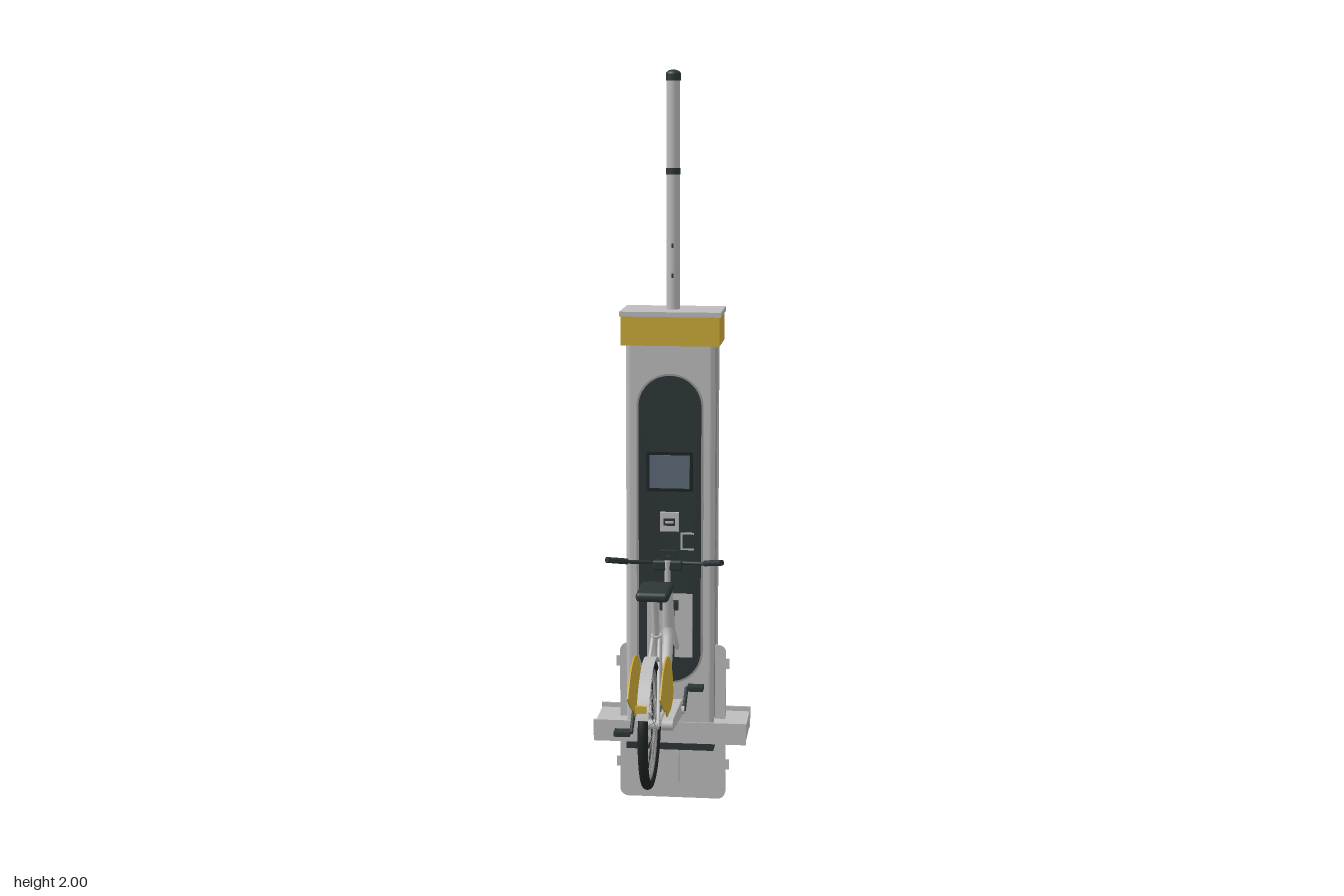
import * as THREE from 'three';
import { RoundedBoxGeometry } from 'three/addons/geometries/RoundedBoxGeometry.js';
import { mergeGeometries } from 'three/addons/utils/BufferGeometryUtils.js';

const V = (x, y, z) => new THREE.Vector3(x, y, z);

export function createModel() {
  const mat = (name, color) => Object.assign(new THREE.MeshStandardMaterial({ color }), { name });
  const metal = mat('light grey metal', 0xbcbcbc);
  const recess = mat('mid grey metal', 0x969696);
  const dark = mat('dark panel', 0x2d3637);
  const black = mat('tyre black', 0x1f2323);
  const yellow = mat('yellow', 0xcbaa36);
  const glass = mat('screen blue grey', 0x5b6977);

  const model = new THREE.Group();
  model.name = 'bikeStation';
  const station = new THREE.Group(), bike = new THREE.Group();
  station.name = 'dockingTower';
  bike.name = 'bicycle';
  model.add(station, bike);

  const add = (parent, name, geo, material) => {
    const m = new THREE.Mesh(geo, material);
    m.name = name;
    parent.add(m);
    return m;
  };
  // Box given by its limits on each axis
  const box = (p, name, m, x0, x1, y0, y1, z0, z1, r = 0) => {
    const s = [x1 - x0, y1 - y0, z1 - z0];
    const g = r ? new RoundedBoxGeometry(...s, 3, r) : new THREE.BoxGeometry(...s);
    return add(p, name, g.translate((x0 + x1) / 2, (y0 + y1) / 2, (z0 + z1) / 2), m);
  };
  // Straight rod between two points
  const rodGeo = (a, b, r0, r1 = r0, sides = 14) => {
    const d = b.clone().sub(a);
    const q = new THREE.Quaternion().setFromUnitVectors(V(0, 1, 0), d.clone().normalize());
    const c = a.clone().add(b).multiplyScalar(0.5);
    return new THREE.CylinderGeometry(r1, r0, d.length(), sides).applyQuaternion(q).translate(c.x, c.y, c.z);
  };
  const rod = (p, name, m, a, b, r0, r1) => add(p, name, rodGeo(a, b, r0, r1), m);
  const tube = (p, name, m, pts, r, tension = 0.3) => add(p, name, new THREE.TubeGeometry(
    new THREE.CatmullRomCurve3(pts, false, 'catmullrom', tension), 40, r, 12), m);
  // Side-on shape in (z, y), extruded across x
  const slab = (p, name, m, shape, x, width) => add(p, name,
    new THREE.ExtrudeGeometry(shape, { depth: width, bevelEnabled: false, curveSegments: 24 })
      .translate(0, 0, -width / 2).rotateY(-Math.PI / 2).translate(x, 0, 0), m);
  const roundRect = (x0, x1, y0, y1, r) => {
    const s = new THREE.Shape();
    s.absarc(x1 - r, y1 - r, r, 0, Math.PI / 2);
    s.absarc(x0 + r, y1 - r, r, Math.PI / 2, Math.PI);
    s.absarc(x0 + r, y0 + r, r, Math.PI, Math.PI * 1.5);
    s.absarc(x1 - r, y0 + r, r, Math.PI * 1.5, Math.PI * 2);
    s.closePath();
    return s;
  };
  // Front-on rounded plate
  const plate = (name, m, x0, x1, y0, y1, r, z, t) => add(station, name,
    new THREE.ExtrudeGeometry(roundRect(x0, x1, y0, y1, r), { depth: t, bevelEnabled: false, curveSegments: 20 })
      .translate(0, 0, z), m);
  // Upright rounded column, section in (x, z)
  const column = (name, m, x0, x1, z0, z1, r, y0, y1) => add(station, name,
    new THREE.ExtrudeGeometry(roundRect(x0, x1, -z1, -z0, r), { depth: y1 - y0, bevelEnabled: false, curveSegments: 8 })
      .rotateX(-Math.PI / 2).translate(0, y0, 0), m);

  // Tower body: grooved core, front shell and rounded rear columns
  box(station, 'towerCore', recess, -0.108, 0.108, 0.24, 1.285, -0.36, -0.225);
  column('frontShell', metal, -0.12, 0.12, -0.245, -0.213, 0.015, 0.24, 1.285);
  for (const s of [-1, 1]) {
    column('rearColumn', metal, s * 0.103 - 0.017, s * 0.103 + 0.017, -0.366, -0.333, 0.015, 0.24, 1.285);
    for (const z of [-0.263, -0.289, -0.315])
      box(station, 'sideRib', recess, s * 0.112 - 0.005, s * 0.112 + 0.005, 0.24, 1.285, z - 0.009, z + 0.009);
  }
  for (const x of [-0.062, 0, 0.062])
    box(station, 'backPanel', recess, x - 0.028, x + 0.028, 0.24, 1.285, -0.366, -0.355);
  for (const y of [0.6, 0.72]) box(station, 'doorSeam', dark, -0.09, 0.09, y, y + 0.003, -0.367, -0.36);
  box(station, 'doorLock', yellow, -0.014, 0.014, 0.645, 0.673, -0.374, -0.366);

  // Cap and mast
  box(station, 'capBand', yellow, -0.132, 0.132, 1.28, 1.357, -0.374, -0.207);
  box(station, 'capLid', metal, -0.135, 0.135, 1.357, 1.37, -0.378, -0.205);
  rod(station, 'mast', metal, V(0, 1.37, -0.292), V(0, 1.98, -0.292), 0.018);
  rod(station, 'mastBand', dark, V(0, 1.727, -0.292), V(0, 1.744, -0.292), 0.0195);
  rod(station, 'mastTip', dark, V(0, 1.972, -0.292), V(0, 1.988, -0.292), 0.02);
  add(station, 'mastDome', new THREE.SphereGeometry(0.02, 20, 8, 0, Math.PI * 2, 0, Math.PI / 2)
    .scale(1, 0.6, 1).translate(0, 1.988, -0.292), dark);
  for (const y of [1.46, 1.54]) box(station, 'mastScrew', dark, -0.003, 0.003, y - 0.006, y + 0.006, -0.275, -0.272);

  // Front control panel
  plate('panelRim', recess, -0.09, 0.09, 0.355, 1.205, 0.089, -0.213, 0.002);
  plate('controlPanel', dark, -0.084, 0.084, 0.361, 1.2, 0.083, -0.213, 0.005);
  box(station, 'screenFrame', black, -0.062, 0.062, 0.888, 0.995, -0.21, -0.205);
  box(station, 'screen', glass, -0.054, 0.054, 0.897, 0.987, -0.206, -0.203);
  box(station, 'cardReader', metal, -0.025, 0.025, 0.78, 0.832, -0.21, -0.198);
  box(station, 'readerSlot', dark, -0.015, 0.015, 0.796, 0.816, -0.199, -0.197);
  box(station, 'readerStripe', metal, -0.011, 0.011, 0.803, 0.809, -0.198, -0.196);
  box(station, 'noticeTag', metal, 0.03, 0.066, 0.728, 0.776, -0.21, -0.206);
  box(station, 'noticeFace', dark, 0.035, 0.066, 0.733, 0.771, -0.207, -0.205);
  box(station, 'dockPlate', metal, -0.062, 0.062, 0.43, 0.607, -0.21, -0.204);
  box(station, 'dockSlot', dark, -0.014, 0.014, 0.43, 0.56, -0.205, -0.202);
  box(station, 'dockLock', dark, -0.025, 0.025, 0.565, 0.59, -0.206, -0.185);

  // Foot channel with raised lips
  box(station, 'footChannel', metal, -0.208, 0.208, 0.188, 0.232, -0.373, -0.213);
  for (const z of [-0.377, -0.215]) box(station, 'footLip', metal, -0.21, 0.21, 0.185, 0.245, z, z + 0.006);
  box(station, 'underTray', dark, -0.12, 0.12, 0.165, 0.188, -0.375, -0.212);
  // Ground plate, post and rear brackets
  plate('groundPlate', metal, -0.147, 0.147, 0, 0.442, 0.022, -0.299, 0.006);
  for (const s of [-1, 1]) for (const y of [0.1, 0.39])
    box(station, 'plateTab', metal, s * 0.145 - 0.012, s * 0.145 + 0.012, y - 0.014, y + 0.014, -0.299, -0.293);
  box(station, 'post', metal, -0.019, 0.019, 0.05, 0.17, -0.305, -0.271);
  box(station, 'rearBracket', metal, -0.075, 0.075, 0.142, 0.166, -0.35, -0.299);
  box(station, 'rearBar', metal, -0.075, 0.075, 0.082, 0.1, -0.32, -0.299);
  rod(station, 'rearPin', metal, V(0, 0.091, -0.3), V(0, 0.091, -0.357), 0.009);

  // Wheels
  const hubY = 0.386;
  for (const [name, z] of [['rearWheel', 0.262], ['frontWheel', -0.29]]) {
    const w = new THREE.Group();
    w.name = name;
    w.position.set(0, hubY, z);
    bike.add(w);
    add(w, 'tyre', new THREE.TorusGeometry(0.15, 0.0125, 12, 56).rotateY(Math.PI / 2), black);
    add(w, 'rim', new THREE.TorusGeometry(0.138, 0.006, 8, 56).rotateY(Math.PI / 2), recess);
    rod(w, 'hub', metal, V(-0.024, 0, 0), V(0.024, 0, 0), 0.012);
    const spokes = [];
    for (let i = 0; i < 28; i++) {
      const a = i / 28 * Math.PI * 2, b = a + (i % 4 < 2 ? 0.8 : -0.8);
      spokes.push(rodGeo(V(i % 2 ? 0.016 : -0.016, Math.sin(b) * 0.011, Math.cos(b) * 0.011),
        V(0, Math.sin(a) * 0.137, Math.cos(a) * 0.137), 0.0009, 0.0009, 5));
    }
    add(w, 'spokes', mergeGeometries(spokes), recess);
  }

  // Mudguards
  const guard = (name, z, a0, a1) => {
    const s = new THREE.Shape(), d = Math.PI / 180;
    s.absarc(z, hubY, 0.169, a0 * d, a1 * d, false);
    s.absarc(z, hubY, 0.165, a1 * d, a0 * d, true);
    s.closePath();
    slab(bike, name, metal, s, 0, 0.03);
  };
  guard('rearMudguard', 0.262, 20, 165);
  guard('frontMudguard', -0.29, 65, 175);

  // Yellow skirts beside the rear wheel
  const skirt = new THREE.Shape();
  skirt.moveTo(0.39, 0.488);
  skirt.splineThru([[0.33, 0.538], [0.25, 0.556], [0.17, 0.53], [0.115, 0.475], [0.095, 0.425]]
    .map(p => new THREE.Vector2(...p)));
  skirt.lineTo(0.105, 0.405);
  skirt.lineTo(0.17, 0.39);
  skirt.lineTo(0.235, 0.395);
  skirt.quadraticCurveTo(0.25, 0.425, 0.28, 0.425);
  skirt.lineTo(0.34, 0.455);
  skirt.closePath();
  for (const s of [-1, 1]) slab(bike, 'wheelSkirt', yellow, skirt, s * 0.04, 0.004);
  box(bike, 'rearReflector', yellow, -0.013, 0.013, 0.472, 0.49, 0.445, 0.453);

  // Frame
  tube(bike, 'mainTube', metal, [V(0, 0.53, -0.183), V(0, 0.49, -0.168), V(0, 0.42, -0.12), V(0, 0.375, -0.07),
    V(0, 0.357, -0.01), V(0, 0.36, 0.055)], 0.015, 0.5);
  rod(bike, 'seatTube', metal, V(0, 0.36, 0.052), V(0, 0.58, 0.119), 0.013);
  rod(bike, 'seatPost', metal, V(0, 0.56, 0.113), V(0, 0.69, 0.152), 0.009);
  rod(bike, 'headTube', metal, V(0, 0.49, -0.19), V(0, 0.63, -0.157), 0.018, 0.013);
  rod(bike, 'stem', metal, V(0, 0.62, -0.16), V(0, 0.71, -0.154), 0.008);
  for (const s of [-1, 1]) {
    rod(bike, 'seatStay', metal, V(s * 0.008, 0.575, 0.118), V(s * 0.022, hubY, 0.262), 0.005);
    rod(bike, 'chainStay', metal, V(s * 0.012, 0.36, 0.055), V(s * 0.022, hubY, 0.262), 0.007);
    tube(bike, 'forkBlade', metal, [V(s * 0.012, 0.51, -0.186), V(s * 0.02, 0.46, -0.205), V(s * 0.022, hubY, -0.29)], 0.007);
  }

  // Saddle
  box(bike, 'saddle', dark, -0.042, 0.042, 0.686, 0.711, 0.08, 0.214, 0.011);

  // Handlebar with grips
  const half = [[0.036, 0.703, -0.162], [0.1, 0.712, -0.12], [0.15, 0.728, -0.07]];
  const barPts = [...half.slice().reverse().map(([x, y, z]) => V(-x, y, z)), ...half.map(p => V(...p))];
  tube(bike, 'handlebar', dark, barPts, 0.005, 0.1);
  for (const s of [-1, 1])
    rod(bike, 'grip', dark, V(s * 0.104, 0.714, -0.116), V(s * 0.152, 0.728, -0.068), 0.008);
  box(bike, 'handlebarClamp', dark, -0.04, 0.04, 0.682, 0.71, -0.168, -0.15, 0.006);
  box(bike, 'frontLamp', dark, -0.022, 0.022, 0.712, 0.732, -0.188, -0.173);
  box(bike, 'lampBracket', dark, -0.006, 0.006, 0.7, 0.72, -0.18, -0.155);

  // Chain case, cranks and pedals
  const chain = new THREE.Shape();
  chain.absarc(0.045, 0.365, 0.022, -Math.PI / 2, -Math.PI * 1.5, true);
  chain.absarc(0.262, hubY, 0.014, Math.PI / 2, -Math.PI / 2, true);
  chain.closePath();
  slab(bike, 'chainCase', metal, chain, 0.045, 0.028);
  rod(bike, 'crankAxle', metal, V(-0.066, 0.36, 0.05), V(0.066, 0.36, 0.05), 0.01);
  for (const [s, y, z] of [[1, 0.4, -0.02], [-1, 0.315, 0.118]]) {
    rod(bike, 'crank', dark, V(s * 0.065, 0.36, 0.05), V(s * 0.065, y, z), 0.005);
    box(bike, 'pedal', dark, s * 0.088 - 0.021, s * 0.088 + 0.021, y - 0.006, y + 0.006, z - 0.017, z + 0.017);
  }
  return model;
}
